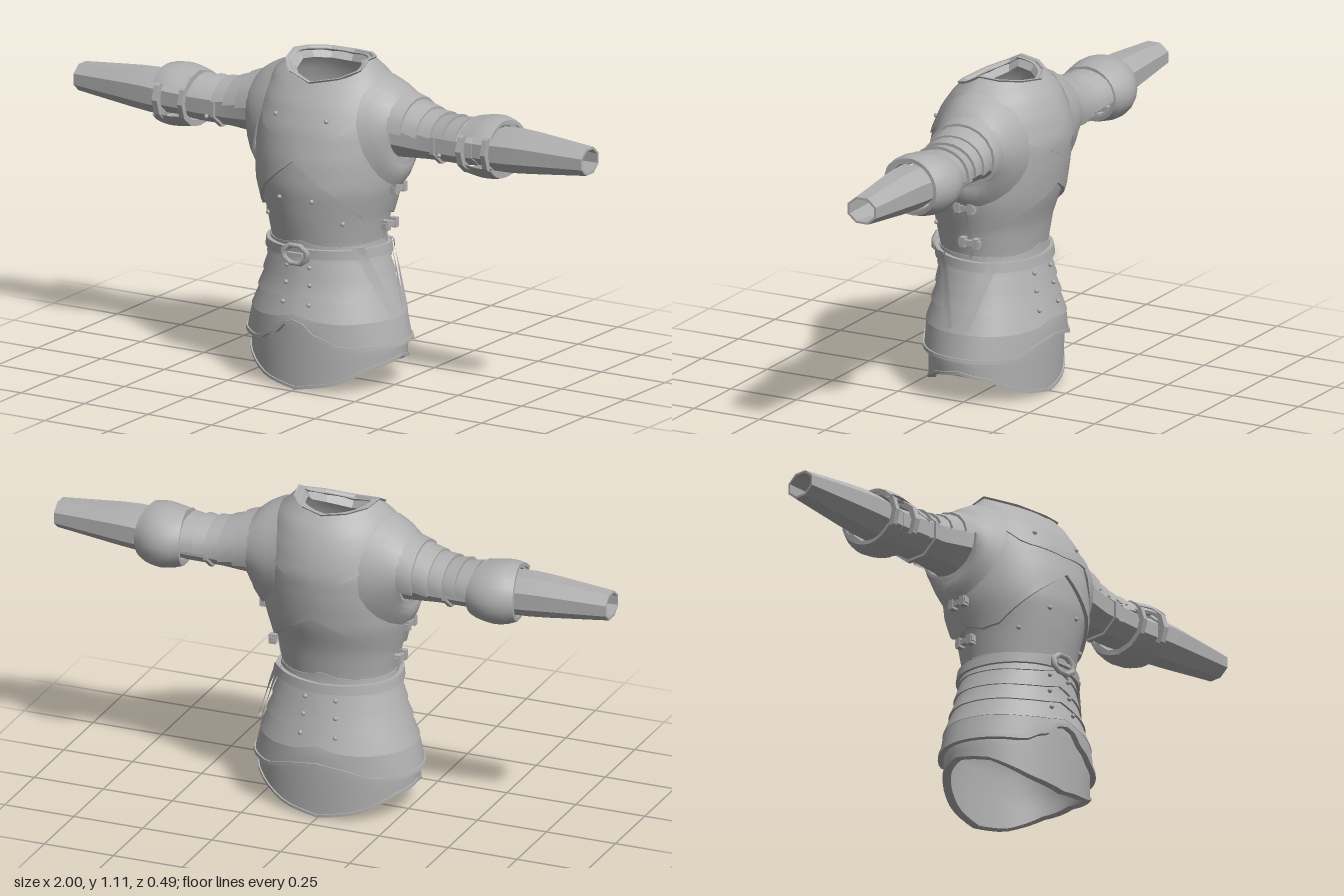
import * as THREE from 'three';
import { toCreasedNormals } from 'three/addons/utils/BufferGeometryUtils.js';

const steel = new THREE.MeshStandardMaterial({ color: 0xb0b0b0, side: THREE.DoubleSide });
steel.name = 'steel';
const { lerp, degToRad, radToDeg } = THREE.MathUtils;

// Piecewise linear lookup; each row is [key, value, value, ...]
function lookup(rows, k) {
  let i = 0;
  while (i < rows.length - 2 && k > rows[i + 1][0]) i++;
  const a = rows[i], b = rows[i + 1];
  const t = THREE.MathUtils.clamp((k - a[0]) / (b[0] - a[0]), 0, 1);
  return a.slice(1).map((v, j) => lerp(v, b[j + 1], t));
}
// Edge height by angle from the front, mirrored left to right
const edge = (...pts) => a => {
  const d = Math.abs(radToDeg(a)) % 360;
  return lookup(pts, d > 180 ? 360 - d : d)[0];
};

// Torso: height, half width, front depth, back depth
const TORSO = [
  [0, .275, .225, .185], [.16, .28, .225, .19], [.25, .26, .225, .19], [.36, .225, .2, .165],
  [.48, .195, .195, .145], [.6, .215, .22, .165], [.7, .245, .235, .2], [.8, .25, .23, .22],
  [.9, .245, .21, .232], [.98, .225, .175, .215], [1.05, .195, .125, .185], [1.115, .13, .05, .12],
];
function torso(a, y, off = 0) {
  const [w, f, b] = lookup(TORSO, y);
  const c = Math.cos(a);
  return new THREE.Vector3((w + off) * Math.sin(a), y, c * ((c > 0 ? f : b) + off));
}
function torsoSide(y, z) {
  const [w, f, b] = lookup(TORSO, y);
  return w * Math.sqrt(Math.max(0.05, 1 - (z / (z > 0 ? f : b)) ** 2));
}

// Arm: distance out, top, bottom, front, back
const ARM = [
  [.2, 1.04, .77, .11, -.17], [.26, 1.015, .795, .085, -.15], [.4, .95, .805, .06, -.13],
  [.52, .945, .805, .055, -.125], [.57, .94, .81, .05, -.12], [.66, .95, .805, .055, -.115],
  [.74, .953, .81, .05, -.11], [1, .93, .84, .025, -.085],
];
function arm(a, x, off = 0) {
  const [t, b, f, k] = lookup(ARM, x);
  return new THREE.Vector3(x, (t + b) / 2 + ((t - b) / 2 + off) * Math.cos(a),
    (f + k) / 2 + ((f - k) / 2 + off) * Math.sin(a));
}

// Thick plate: f(angle, v, inset) swept over an arc, outer and inner skins joined by rims
function plate(name, f, { nu = 48, nv = 4, from = 0, to = Math.PI * 2, thick = .01, crease = .5 } = {}) {
  const pos = [], idx = [], rows = 2 * (nv + 1);
  const closed = to - from > 6.28, cols = closed ? nu : nu + 1;
  for (let r = 0; r < rows; r++) {
    const outer = r <= nv, v = outer ? r / nv : (rows - 1 - r) / nv;
    for (let u = 0; u < cols; u++) pos.push(...f(from + (to - from) * u / nu, v, outer ? 0 : thick).toArray());
  }
  for (let r = 0; r < rows; r++) for (let u = 0; u < nu; u++) {
    const s = (r + 1) % rows, w = (u + 1) % cols;
    const A = r * cols + u, B = r * cols + w, C = s * cols + w, D = s * cols + u;
    idx.push(A, D, B, B, D, C);
  }
  const g = new THREE.BufferGeometry();
  g.setAttribute('position', new THREE.Float32BufferAttribute(pos, 3));
  g.setIndex(idx);
  return mesh(name, toCreasedNormals(g, crease));
}
function mesh(name, geo, p) {
  const m = new THREE.Mesh(geo, steel);
  m.name = name;
  if (p) m.position.copy(p);
  return m;
}
const band = (name, top, bottom, offTop, offBottom, opt) => plate(name, (a, v, t) =>
  torso(a, lerp(top(a), bottom(a), v), lerp(offTop, offBottom, v) - t), opt);
const flat = y => () => y;
function rivet(a, y, off) {
  return mesh('rivet', new THREE.SphereGeometry(.008, 8, 6), torso(a, y, off));
}

function buildArm(side) {
  const g = new THREE.Group();
  g.name = side > 0 ? 'leftArm' : 'rightArm';
  g.scale.x = side;
  const tube = (name, x0, x1, o0, o1, opt) => g.add(plate(name, (a, v, t) =>
    arm(a + Math.PI / 8, lerp(x0, x1, v), lerp(o0, o1, v) - t), { nu: 8, crease: .3, ...opt }));
  tube('upperArmGuard', .2, .58, 0, 0, { nv: 6 });
  tube('upperArmRim', .425, .44, .01, .01, { nv: 1, thick: .015 });
  tube('elbowSleeve', .54, .68, -.005, -.005, { nv: 2 });
  tube('forearmGuard', .645, 1, .004, .004, { nv: 5, thick: .008 });

  // Shoulder plate flowing from the torso into the armhole
  g.add(plate('shoulderPlate', (a, v, t) => {
    const y = .885 + (.187 - t) * Math.cos(a), z = -.025 + (.172 - t) * Math.sin(a);
    const outer = new THREE.Vector3(torsoSide(y, z) + .022 - t, y, z);
    const p = outer.lerp(arm(a, .28, .012 - t), v);
    p.x += .012 * Math.sin(Math.PI * v);
    return p;
  }, { nu: 24 }));

  // Overlapping lames over the top of the arm
  [[.24, .325, 100], [.305, .38, 95], [.365, .43, 88], [.42, .475, 85], [.465, .525, 85]].forEach(([x0, x1, deg]) =>
    g.add(plate('shoulderLame', (a, v, t) => arm(a, lerp(x0, x1, v), lerp(.008, .02, v) - t),
      { nu: 10, nv: 1, from: -degToRad(deg + 10), to: degToRad(deg - 15) })));

  // Elbow cup: widest and deepest at the back, open at the front
  g.add(plate('elbowCup', (a, v, t) => {
    const back = Math.max(0, -Math.sin(a)), k = 2 * v - 1;
    return arm(a, .603 + (.063 + .02 * back) * k, .026 + (.01 + .018 * back) * (1 - k * k) - t);
  }, { nu: 20, nv: 6, from: degToRad(-235), to: degToRad(55), thick: .012 }));
  for (const x of [.548, .646])
    g.add(plate('elbowRim', (a, v, t) => arm(a, x + .02 * (v - .5), .028 - t),
      { nu: 12, nv: 1, thick: .02 }));
  for (const a of [60, 115])
    g.add(mesh('armRivet', new THREE.SphereGeometry(.008, 8, 6), arm(degToRad(a), .458, .006)));
  return g;
}

// Flat strap running over the left hip between two points given as [height, depth]
function hipStrap(p, q) {
  return plate('hipStrap', (a, v, t) => {
    const y = lerp(p[0], q[0], v), z = lerp(p[1], q[1], v) + .013 * a;
    return new THREE.Vector3(torsoSide(y, z) + .032 - t, y, z);
  }, { nu: 1, nv: 8, from: -1, to: 1, thick: .012 });
}

export function createModel() {
  const model = new THREE.Group();
  model.name = 'plateArmour';

  // Main shell, neck to hem
  const neck = edge([0, 1.045], [40, 1.07], [90, 1.112], [140, 1.1], [180, 1.09]);
  const hem = edge([0, .008], [27, .03], [60, .09], [90, .112], [120, .09], [153, .03], [180, .008]);
  model.add(band('bodyShell', neck, hem, 0, 0, { nv: 36, thick: .014 }));

  // Breast and back plate with arrow-shaped lower edges
  const chest = edge([0, .8], [60, .6], [75, .59], [90, .61], [105, .59], [125, .61], [180, .74]);
  model.add(band('breastPlate', flat(.97), chest, .004, .013, { nv: 10, thick: .012 }));

  // Neck yoke and raised collar
  const yoke = edge([0, .87], [35, .89], [55, .96], [75, 1.02], [105, 1.02], [130, .94], [180, .84]);
  model.add(band('neckYoke', neck, yoke, .01, .013, { nv: 8 }));
  model.add(plate('collar', (a, v, t) => {
    const p = torso(a, neck(a), .016 - t);
    const s = lerp(1, .82, v);
    return new THREE.Vector3(p.x * s, p.y + .006 - .035 * v, -.025 + (p.z + .025) * s);
  }, { nu: 12, nv: 2, thick: .012, crease: .3 }));

  // Waist lames, each flaring over the next
  const peak = (y, h) => edge([0, y + h], [16, y + h * .3], [35, y], [90, y + .005], [145, y], [164, y + h * .3], [180, y + h]);
  [[.5, .435], [.445, .375], [.39, .315], [.335, .245]].forEach(([t, b], i) =>
    model.add(band('waistLame', peak(t, .02), peak(b, .025), .003, .011 + i * .001, { nv: 2 })));
  const skirtEdge = edge([0, .24], [7, .235], [12, .2], [22, .185], [32, .155], [90, .16], [140, .155], [160, .185], [180, .2]);
  model.add(band('skirtLame', peak(.25, .025), skirtEdge, .012, .014, { nv: 3, thick: .014 }));
  model.add(band('skirtRim', a => skirtEdge(a) + .012, skirtEdge, .019, .019, { nv: 1, thick: .02 }));
  model.add(band('hemRim', a => hem(a) + .01, hem, .005, .005, { nv: 1, thick: .028 }));

  // Belt and buckle
  const beltTop = edge([0, .495], [180, .482]);
  model.add(band('belt', beltTop, a => beltTop(a) - .032, .02, .02, { nv: 1, thick: .022 }));
  const buckle = mesh('buckle', new THREE.TorusGeometry(.037, .01, 6, 8).rotateZ(Math.PI / 8).scale(1.3, .9, 1), new THREE.Vector3(0, .475, .226));
  model.add(buckle, mesh('bucklePin', new THREE.BoxGeometry(.06, .012, .014), new THREE.Vector3(0, .475, .226)));
  model.add(hipStrap([.5, .12], [.265, .045]), hipStrap([.49, -.08], [.27, -.02]));

  // Side seams with clasps, and both arms
  for (const s of [1, -1]) {
    model.add(buildArm(s));
    const mid = s * degToRad(92);
    model.add(band('sideSeam', flat(.77), flat(.5), .018, .012, { nu: 2, nv: 8, from: mid - .03, to: mid + .03 }));
    for (const y of [.69, .56]) {
      const x = torso(mid, y, .018).x;
      model.add(mesh('claspBar', new THREE.BoxGeometry(.018, .018, .08), new THREE.Vector3(x, y, -.01)));
      for (const z of [-.035, .015])
        model.add(mesh('claspEnd', new THREE.BoxGeometry(.024, .034, .02), new THREE.Vector3(x, y, z)));
    }
    // Rivets
    for (const y of [.305, .37, .43])
      model.add(rivet(s * .2, y, .014), rivet(Math.PI + s * .25, y, .014));
    [[.41, .94, .014], [.27, .665, .003], [.75, .585, .003]].forEach(([a, y, o]) => model.add(rivet(s * a, y, o)));
  }
  return model;
}
